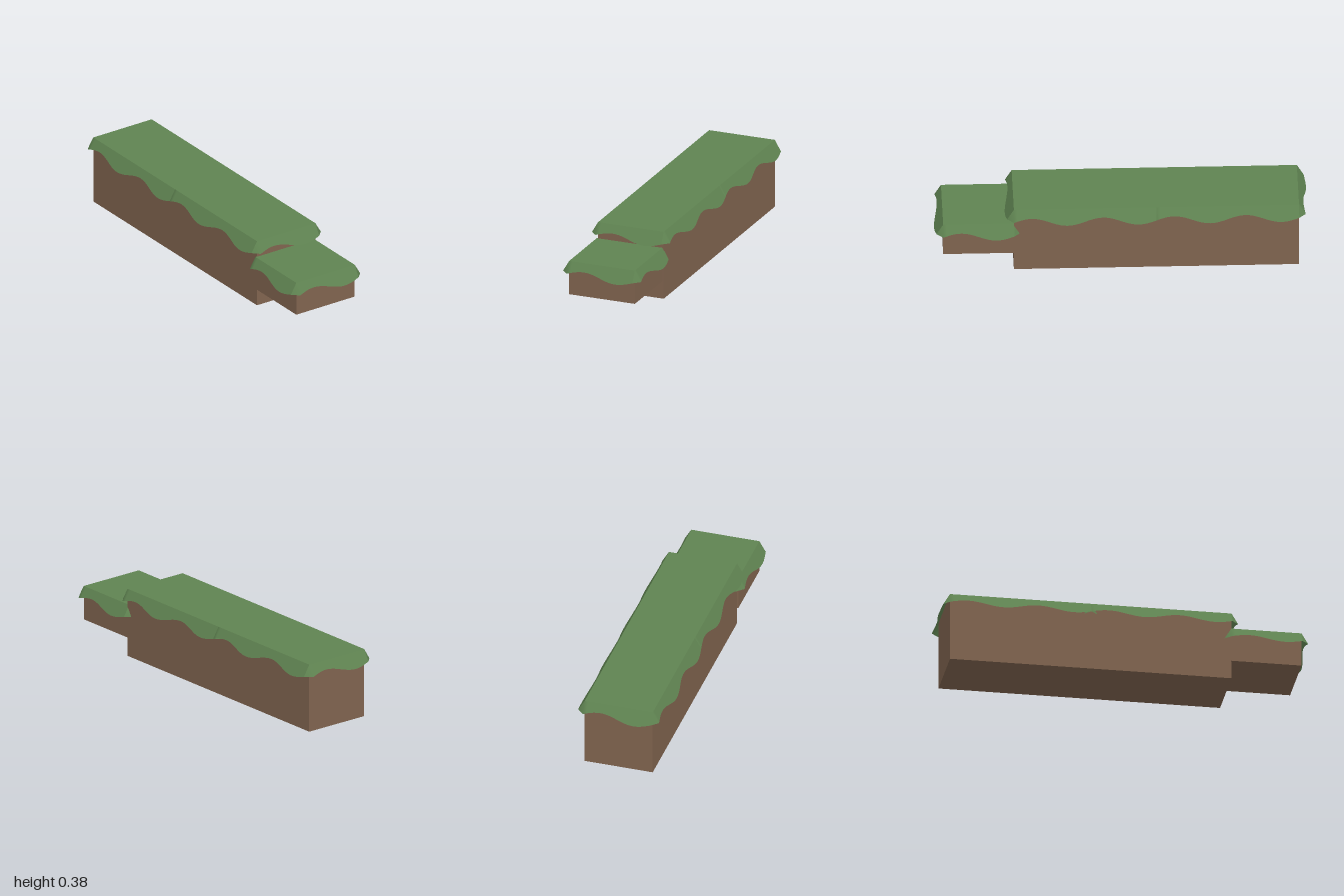
import * as THREE from 'three';

const FLARE = 0.036, DROP = 0.061, WAVE = 0.0175, PERIOD = 0.3835;

const earth = new THREE.MeshStandardMaterial({ color: 0x80644f });
const grass = new THREE.MeshStandardMaterial({ color: 0x5f8351 });
const grassSkirt = new THREE.MeshStandardMaterial({ color: 0x5f8351, side: THREE.DoubleSide });

// One flared strip facing +z with a wavy hem, plus the corner triangle at its left end
function skirtGeometry(width, depth) {
  const n = Math.round(width / PERIOD) * 20;
  const positions = [-width / 2 - FLARE, -DROP, depth / 2];
  const index = [];
  for (let i = 0; i <= n; i++) {
    const x = (i / n - 0.5) * width;
    const waves = Math.round(width / PERIOD);
    const drop = DROP - WAVE * Math.sin((i / n) * waves * Math.PI * 2);
    positions.push(x, 0, depth / 2);
    positions.push(x, -drop, depth / 2 + (FLARE * drop) / DROP);
    if (i < n) {
      const a = 1 + i * 2;
      index.push(a, a + 1, a + 3, a, a + 3, a + 2);
    }
  }
  index.push(1, 0, 2);
  const geometry = new THREE.BufferGeometry();
  geometry.setAttribute('position', new THREE.Float32BufferAttribute(positions, 3));
  geometry.setIndex(index);
  geometry.computeVertexNormals();
  return geometry;
}

// Earth block with a grass top and an overhanging grass skirt on all four sides
function grassBlock(name, x0, x1, y0, y1, z0, z1) {
  const w = x1 - x0, h = y1 - y0, d = z1 - z0;
  const block = new THREE.Group();
  block.name = name;
  block.position.set((x0 + x1) / 2, y1, (z0 + z1) / 2);

  const body = new THREE.Mesh(
    new THREE.BoxGeometry(w, h, d),
    [earth, earth, grass, earth, earth, earth]
  );
  body.name = 'earthBody';
  body.position.y = -h / 2;
  block.add(body);

  ['front', 'left', 'back', 'right'].forEach((side, k) => {
    const skirt = new THREE.Mesh(k % 2 ? skirtGeometry(d, w) : skirtGeometry(w, d), grassSkirt);
    skirt.name = side + 'GrassSkirt';
    skirt.rotation.y = (k * Math.PI) / 2;
    block.add(skirt);
  });
  return block;
}

export function createModel() {
  const model = new THREE.Group();
  model.name = 'grassPlatform';
  // Long ledge made of two equal blocks
  model.add(grassBlock('mainBlockRight', -0.959, -0.192, 0, 0.384, -0.195, 0.188));
  model.add(grassBlock('mainBlockLeft', -0.192, 0.575, 0, 0.384, -0.195, 0.188));
  // Lower, thinner step at the end
  model.add(grassBlock('lowStep', 0.572, 0.955, 0.1, 0.291, -0.187, 0.196));
  return model;
}
